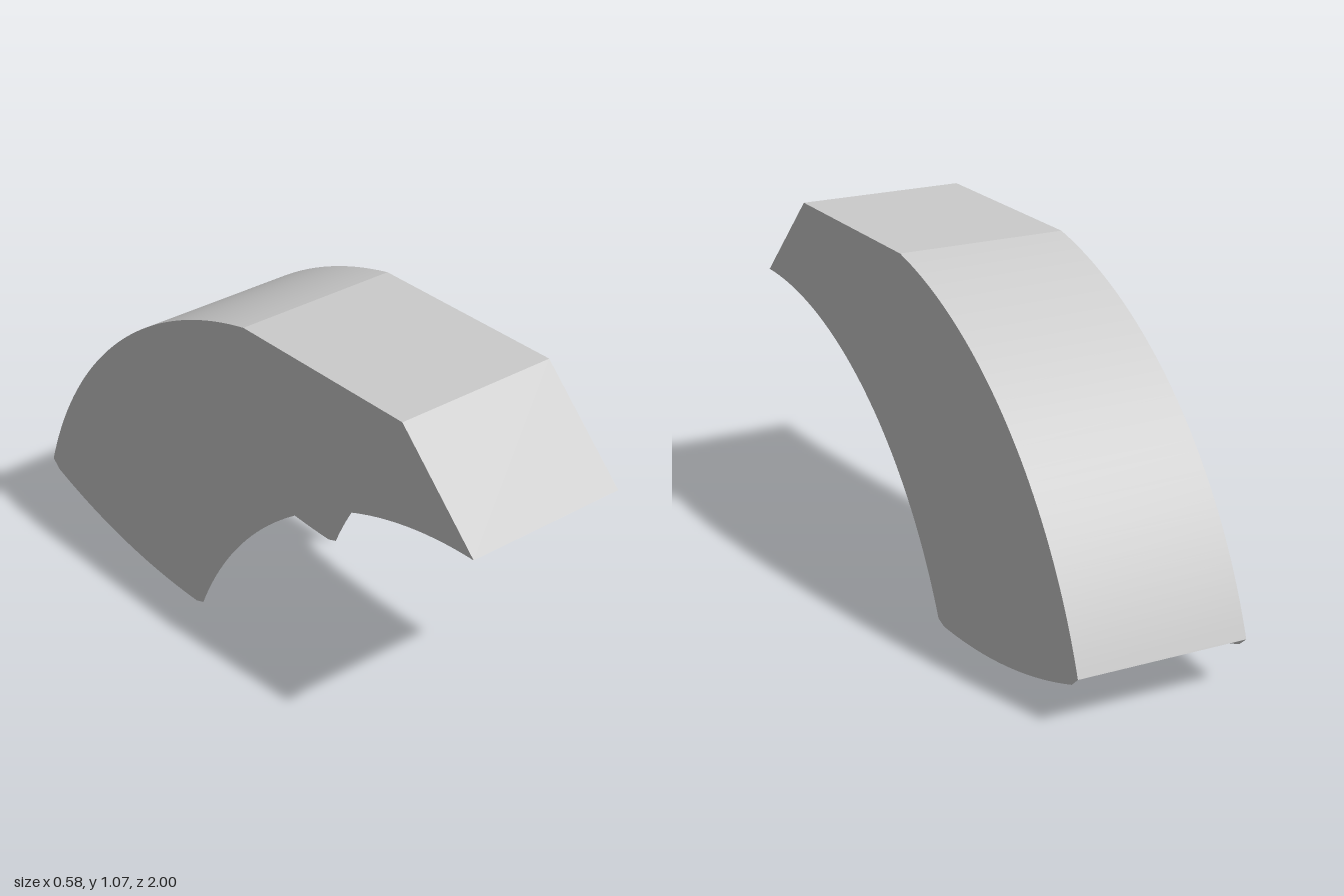
import * as THREE from 'three';

const HALF_WIDTH = 0.268;

// Points on a circular arc in the (z, y) plane between two z positions.
// side = 1 takes the upper half of the circle, -1 the lower half.
function arc(cz, cy, r, z0, z1, side, n) {
  const a0 = Math.acos((z0 - cz) / r) * side;
  const a1 = Math.acos((z1 - cz) / r) * side;
  return Array.from({ length: n + 1 }, (_, i) => {
    const a = a0 + ((a1 - a0) * i) / n;
    return new THREE.Vector2(cz + r * Math.cos(a), cy + r * Math.sin(a));
  });
}

// Sheet that spans the width and follows a (z, y) profile from rear to front.
function sheet(name, profile, material) {
  const geo = new THREE.PlaneGeometry(2 * HALF_WIDTH, 1, 1, profile.length - 1);
  const pos = geo.attributes.position;
  for (let i = 0; i < pos.count; i++) {
    const p = profile[Math.floor(i / 2)];
    pos.setXYZ(i, pos.getX(i), p.y, p.x);
  }
  geo.computeVertexNormals();
  const mesh = new THREE.Mesh(geo, material);
  mesh.name = name;
  return mesh;
}

export function createModel() {
  const material = new THREE.MeshStandardMaterial({ color: 0xcccccc, side: THREE.DoubleSide });
  const model = new THREE.Group();
  model.name = 'wheelFender';
  const fender = new THREE.Group();
  fender.name = 'fenderShell';
  fender.rotation.y = 0.02; // slight yaw
  model.add(fender);

  // Side outline: rear crown, flat top, slanted nose, wheel arch, lower edge
  const crown = arc(0.323, -0.291, 1.391, -0.995, 0.035, 1, 40);
  const topRear = crown[crown.length - 1];
  const topFront = new THREE.Vector2(0.707, 1.07);
  const noseTip = new THREE.Vector2(0.995, 0.785);
  const wheelArch = arc(0.995, -0.51, 1.295, 0.995, -0.19, 1, 40);
  const lowerEdge = arc(-0.25, 2.08, 2.08, -0.19, -0.995, -1, 24);

  // Thin side panels, mirrored
  const outline = new THREE.Shape([
    ...crown, topFront, ...wheelArch, ...lowerEdge.slice(1, -1),
  ]);
  const panelGeo = new THREE.ShapeGeometry(outline);
  panelGeo.rotateY(-Math.PI / 2);
  panelGeo.translate(-HALF_WIDTH, 0, 0);
  for (const [name, sx] of [['rightPanel', 1], ['leftPanel', -1]]) {
    const panel = new THREE.Mesh(panelGeo, material);
    panel.name = name;
    panel.scale.x = sx;
    fender.add(panel);
  }

  // Outer skin; the underside stays open
  fender.add(
    sheet('rearCrown', crown, material),
    sheet('topPlate', [topRear, topFront], material),
    sheet('nosePlate', [topFront, noseTip], material),
  );
  return model;
}
